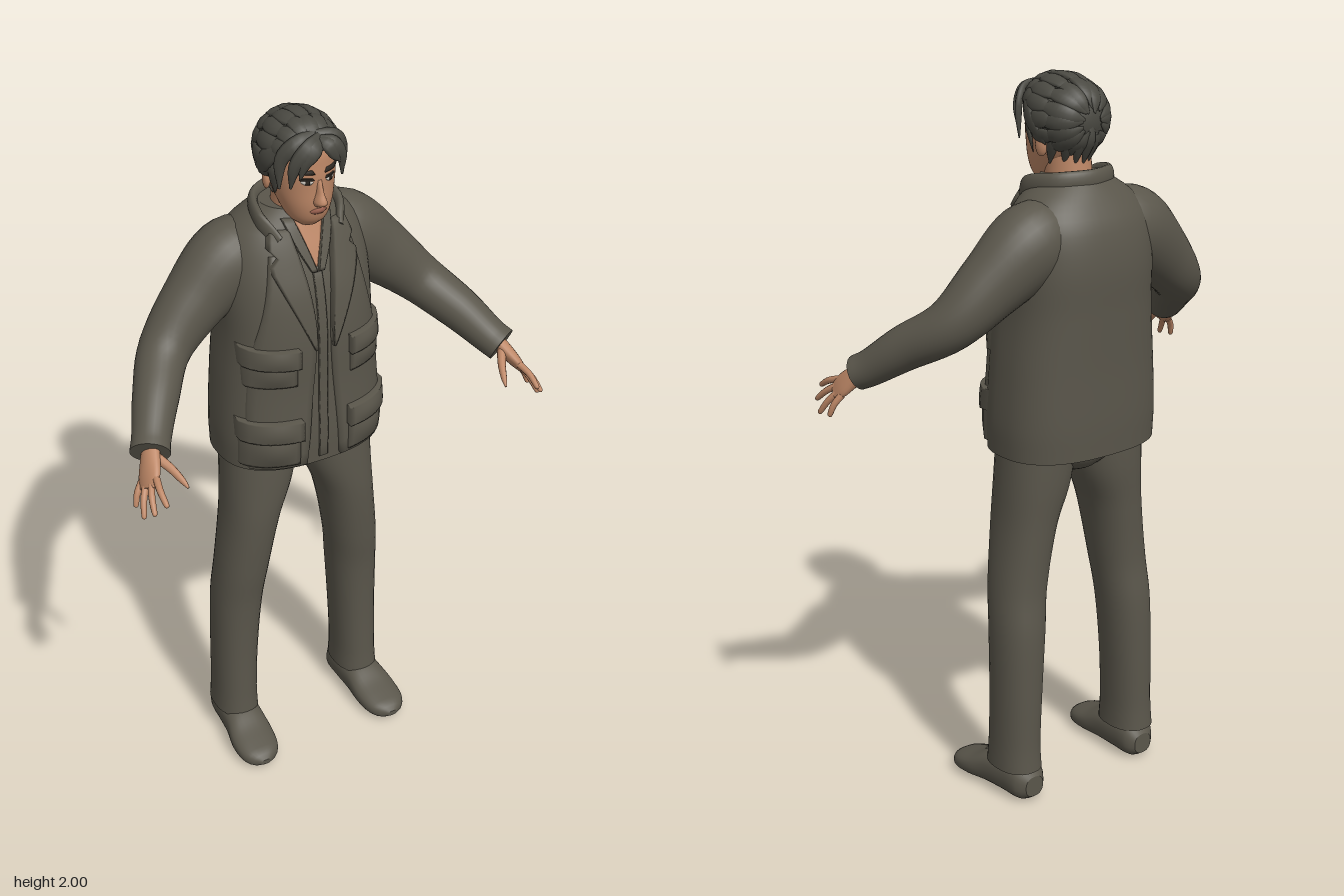
import * as THREE from 'three';

const V3 = (x, y, z) => new THREE.Vector3(x, y, z);
const X = V3(1, 0, 0), Y = V3(0, 1, 0), Z = V3(0, 0, 1);
const mat = (name, color) => Object.assign(new THREE.MeshStandardMaterial({ color }), { name });

// Smooth interpolation of rows keyed by their first column
function rowAt(rows, k) {
  let i = 0;
  while (i < rows.length - 2 && k > rows[i + 1][0]) i++;
  const a = rows[i], b = rows[i + 1], p = rows[i - 1] || a, n = rows[i + 2] || b;
  const h = b[0] - a[0], s = Math.min(1, Math.max(0, (k - a[0]) / h)), s2 = s * s, s3 = s2 * s;
  return a.map((v, c) => {
    if (c === 0) return k;
    const ma = (b[c] - p[c]) / (b[0] - p[0]) * h, mb = (n[c] - a[c]) / (n[0] - a[0]) * h;
    return v * (2 * s3 - 3 * s2 + 1) + ma * (s3 - 2 * s2 + s) + b[c] * (3 * s2 - 2 * s3) + mb * (s3 - s2);
  });
}

function toGeometry(pos, idx) {
  const g = new THREE.BufferGeometry();
  g.setAttribute('position', new THREE.Float32BufferAttribute(pos, 3));
  g.setIndex(idx);
  g.computeVertexNormals();
  return g;
}

// Loft through rows [key, cx, cy, cz, ru, rv, exponent]; dir fixes the ring plane, else it follows the path
function loft(rows, dir, ref, steps = 24, sides = 28) {
  const pos = [], idx = [], k0 = rows[0][0], k1 = rows[rows.length - 1][0];
  const at = t => rowAt(rows, k0 + (k1 - k0) * t);
  const mid = t => V3(...at(Math.min(1, Math.max(0, t))).slice(1, 4));
  for (let i = 0; i <= steps; i++) {
    const t = i / steps, [, cx, cy, cz, ru, rv, n = 2] = at(t);
    const T = dir || mid(t + 0.02).sub(mid(t - 0.02)).normalize();
    const U = T.clone().cross(ref).normalize(), W = T.clone().cross(U);
    for (let j = 0; j < sides; j++) {
      const a = j / sides * Math.PI * 2, c = Math.cos(a), s = Math.sin(a);
      const p = V3(cx, cy, cz)
        .addScaledVector(U, ru * Math.sign(c) * Math.abs(c) ** (2 / n))
        .addScaledVector(W, rv * Math.sign(s) * Math.abs(s) ** (2 / n));
      pos.push(p.x, p.y, p.z);
      if (i < steps) {
        const A = i * sides + j, B = i * sides + (j + 1) % sides;
        idx.push(A, B, A + sides, B, B + sides, A + sides);
      }
    }
  }
  // End caps with their own rims, so the edge stays crisp
  for (const end of [0, steps]) {
    const base = pos.length / 3, m = mid(end / steps);
    pos.push(...pos.slice(end * sides * 3, (end + 1) * sides * 3), m.x, m.y, m.z);
    for (let j = 0; j < sides; j++) {
      const A = base + j, B = base + (j + 1) % sides;
      idx.push(base + sides, ...(end ? [A, B] : [B, A]));
    }
  }
  return toGeometry(pos, idx);
}

// Front depth of a lofted body at x, y
const frontOf = rows => (x, y) => {
  const [, cx, , cz, rz, rx, n] = rowAt(rows, y), q = Math.min(0.98, Math.abs(x - cx) / rx);
  return cz + rz * (1 - q ** n) ** (1 / n);
};

// Raised patch on a front surface; edges rows are [y, xInner, xOuter]
function pad(front, edges, depth, bulge = 0, nx = 12, ny = 18) {
  const pos = [], idx = [], y0 = edges[0][0], y1 = edges[edges.length - 1][0];
  const clamp = v => Math.min(1, Math.max(0, v));
  for (let i = 0; i <= ny; i++) for (let j = 0; j <= nx; j++) {
    const u = clamp((j - 1) / (nx - 2)), v = clamp((i - 1) / (ny - 2)), y = y0 + (y1 - y0) * v;
    const [, a, b] = rowAt(edges, y), x = a + (b - a) * u;
    const skirt = i === 0 || j === 0 || i === ny || j === nx;
    pos.push(x, y, front(x, y) + (skirt ? -0.005 : depth + bulge * Math.sin(u * Math.PI) * Math.sin(v * Math.PI)));
    if (i < ny && j < nx) {
      const A = i * (nx + 1) + j, B = A + nx + 1;
      idx.push(A, A + 1, B, A + 1, B + 1, B);
    }
  }
  return toGeometry(pos, idx);
}

function mirrored(geo) {
  const g = geo.clone().scale(-1, 1, 1), a = g.index.array;
  for (let i = 0; i < a.length; i += 3) [a[i], a[i + 1]] = [a[i + 1], a[i]];
  return g;
}

const H = (y, cx, cz, rz, rx, n = 2) => [y, cx, y, cz, rz, rx, n];
const box = (x0, x1, y0, y1) => [[y0, x0, x1], [y1, x0, x1]];
// Path of points with radii [x, y, z, ru, rv], evenly keyed
const path = pts => pts.map((p, i) => [i, ...p, 2]);

const TORSO = [
  H(1.01, 0, -0.095, 0.168, 0.236, 2.5), H(1.1, 0, -0.095, 0.172, 0.238, 2.5), H(1.25, 0, -0.098, 0.17, 0.228, 2.5),
  H(1.4, 0, -0.1, 0.172, 0.214, 2.5), H(1.53, 0, -0.11, 0.165, 0.212, 2.4), H(1.63, 0, -0.117, 0.14, 0.2, 2.3),
  H(1.69, 0, -0.112, 0.112, 0.165, 2.2), H(1.73, 0, -0.105, 0.09, 0.112, 2), H(1.745, 0, -0.1, 0.08, 0.09, 2)];
const HEAD = [
  H(1.712, 0, -0.005, 0.022, 0.025), H(1.732, 0, -0.016, 0.054, 0.05), H(1.77, 0, -0.03, 0.08, 0.067, 2.1),
  H(1.82, 0, -0.048, 0.101, 0.08, 2.1), H(1.88, 0, -0.055, 0.108, 0.085, 2.1), H(1.94, 0, -0.058, 0.098, 0.078), H(1.98, 0, -0.06, 0.045, 0.04)];

export function createModel() {
  const model = new THREE.Group();
  const cloth = mat('dark cloth', 0x5a564b), skin = mat('skin', 0xbd8766), hair = mat('hair', 0x4a4942);
  const dark = mat('dark eyes and brows', 0x2e2822), white = mat('eye white', 0xd8d2c8), lip = mat('lips', 0x9c6250);
  const add = (name, geo, m) => {
    const mesh = new THREE.Mesh(geo, m);
    mesh.name = name;
    model.add(mesh);
  };
  const pair = (name, geo, m) => { add(name + 'Left', geo, m); add(name + 'Right', mirrored(geo), m); };
  const chest = frontOf(TORSO), face = frontOf(HEAD);

  // Jacket body, front panels, lapels and pockets
  add('jacketBody', loft(TORSO, Y, X, 40, 56), cloth);
  pair('frontPanel', pad(chest, [[1.02, 0.052, 0.2], [1.2, 0.038, 0.2], [1.38, 0.024, 0.18], [1.5, 0.03, 0.15], [1.64, 0.05, 0.12]], 0.011), cloth);
  pair('lapel', pad(chest, [[1.38, 0.024, 0.03], [1.46, 0.026, 0.065], [1.57, 0.038, 0.112], [1.62, 0.046, 0.125], [1.635, 0.049, 0.1], [1.65, 0.052, 0.122], [1.7, 0.062, 0.11]], 0.02), cloth);
  pair('chestPocket', pad(chest, box(0.08, 0.203, 1.28, 1.375), 0.015, 0.014), cloth);
  pair('chestFlap', pad(chest, box(0.075, 0.207, 1.34, 1.395), 0.03, 0.006), cloth);
  pair('lowerPocket', pad(chest, box(0.075, 0.218, 1.03, 1.15), 0.015, 0.016), cloth);
  pair('lowerFlap', pad(chest, box(0.07, 0.222, 1.115, 1.175), 0.032, 0.006), cloth);
  add('shirtPlacket', pad(chest, box(-0.013, 0.013, 1.03, 1.6), 0.005), cloth);
  add('throat', pad(chest, [[1.6, -0.002, 0.002], [1.66, -0.022, 0.022], [1.73, -0.045, 0.045]], 0.006), skin);
  pair('shirtCollar', pad(chest, [[1.59, 0.002, 0.018], [1.66, 0.022, 0.05], [1.725, 0.043, 0.07]], 0.013), cloth);
  add('jacketCollar', loft(path([
    [-0.09, 1.675, 0.0, 0.01, 0.02], [-0.115, 1.72, -0.06, 0.013, 0.028], [-0.085, 1.735, -0.145, 0.014, 0.03],
    [0, 1.738, -0.18, 0.014, 0.03],
    [0.085, 1.735, -0.145, 0.014, 0.03], [0.115, 1.72, -0.06, 0.013, 0.028], [0.09, 1.675, 0.0, 0.01, 0.02]]), null, Y, 36, 14), cloth);

  // Sleeves with a slight flare at the cuff
  pair('sleeve', loft(path([
    [0.07, 1.61, -0.13, 0.08, 0.08], [0.165, 1.585, -0.132, 0.102, 0.112], [0.28, 1.497, -0.118, 0.084, 0.092],
    [0.385, 1.4, -0.082, 0.07, 0.07], [0.46, 1.33, 0.015, 0.061, 0.06], [0.51, 1.272, 0.09, 0.052, 0.05],
    [0.533, 1.25, 0.128, 0.053, 0.047]]), null, Y, 36), cloth);

  // Hands: palm, four fingers and a thumb
  const palmNormal = V3(-0.84, -0.54, -0.06), across = V3(-0.4, 0.53, 0.75);
  pair('palm', loft(path([[0.515, 1.275, 0.095, 0.024, 0.02], [0.538, 1.238, 0.138, 0.032, 0.02],
    [0.556, 1.21, 0.168, 0.038, 0.016], [0.57, 1.188, 0.188, 0.03, 0.009]]), null, palmNormal, 12, 18), skin);
  const tips = [[0.558, 1.182, 0.277], [0.585, 1.152, 0.258], [0.6, 1.125, 0.222], [0.6, 1.13, 0.172]];
  tips.forEach((tip, i) => {
    const base = V3(0.56, 1.203, 0.173).addScaledVector(across, 0.028 - i * 0.0187);
    const end = V3(...tip), m = base.clone().lerp(end, 0.5).add(V3(0.004, 0.005, 0));
    pair('finger' + (i + 1), loft(path([[...base, 0.01, 0.01], [...m, 0.009, 0.009],
      [...m.clone().lerp(end, 0.85), 0.007, 0.007], [...end, 0.002, 0.002]]), null, palmNormal, 10, 10), skin);
  });
  pair('thumb', loft(path([[0.53, 1.248, 0.135, 0.015, 0.013], [0.503, 1.225, 0.177, 0.012, 0.011],
    [0.487, 1.203, 0.215, 0.009, 0.008], [0.48, 1.19, 0.237, 0.003, 0.003]]), null, palmNormal, 10, 10), skin);

  // Trousers
  add('trouserSeat', loft([H(0.925, 0, -0.085, 0.03, 0.015), H(0.95, 0, -0.085, 0.085, 0.08),
    H(1.0, 0, -0.086, 0.114, 0.18, 2.3), H(1.06, 0, -0.09, 0.11, 0.215, 2.3)], Y, X), cloth);
  pair('trouserLeg', loft([
    H(0.09, 0.205, -0.102, 0.087, 0.064, 2.3), H(0.16, 0.204, -0.102, 0.083, 0.062, 2.2), H(0.32, 0.199, -0.103, 0.082, 0.065, 2.2),
    H(0.5, 0.19, -0.098, 0.085, 0.071, 2.2), H(0.62, 0.178, -0.085, 0.088, 0.074, 2.2), H(0.8, 0.151, -0.08, 0.1, 0.081, 2.2),
    H(0.92, 0.126, -0.085, 0.106, 0.1, 2.2), H(1.05, 0.113, -0.09, 0.105, 0.108, 2.2)], Y, X, 40), cloth);

  // Shoes, lofted from heel to toe
  const shoe = [[-0.188, 0.2, 0.045, 0.03, 0.03], [-0.165, 0.202, 0.053, 0.052, 0.05], [-0.1, 0.204, 0.058, 0.057, 0.057],
    [-0.03, 0.208, 0.053, 0.052, 0.06], [0.03, 0.213, 0.039, 0.038, 0.066], [0.085, 0.216, 0.03, 0.029, 0.06],
    [0.115, 0.217, 0.026, 0.022, 0.042], [0.13, 0.217, 0.023, 0.008, 0.015]];
  pair('shoe', loft(shoe.map(([z, x, y, ry, rx]) => [z, x, y, z, ry, rx, 2.4]), Z, X, 28), cloth);

  // Neck, head and face
  add('neck', loft([H(1.62, 0, -0.095, 0.075, 0.075), H(1.73, 0, -0.082, 0.068, 0.062), H(1.82, 0, -0.075, 0.065, 0.06)], Y, X, 12), skin);
  add('head', loft(HEAD, Y, X, 32, 40), skin);
  add('nose', loft([H(1.782, 0, 0.05, 0.012, 0.012), H(1.793, 0, 0.054, 0.026, 0.017), H(1.82, 0, 0.05, 0.019, 0.01),
    H(1.855, 0, 0.046, 0.01, 0.007)], Y, X, 14, 16), skin);
  pair('ear', new THREE.SphereGeometry(1, 14, 10).scale(0.011, 0.03, 0.018).rotateY(0.35).translate(0.084, 1.825, -0.075), skin);
  pair('eyeWhite', pad(face, [[1.845, 0.026, 0.038], [1.852, 0.018, 0.047], [1.859, 0.026, 0.04]], 0.002, 0.002, 8, 8), white);
  pair('iris', pad(face, box(0.028, 0.038, 1.846, 1.859), 0.004, 0.001, 6, 6), dark);
  pair('eyelid', pad(face, [[1.857, 0.016, 0.05], [1.863, 0.02, 0.046]], 0.004, 0, 8, 6), dark);
  pair('brow', pad(face, [[1.873, 0.014, 0.055], [1.884, 0.02, 0.058]], 0.004, 0.002, 8, 6), dark);
  add('mouth', pad(face, [[1.758, -0.012, 0.012], [1.766, -0.024, 0.024], [1.774, -0.012, 0.012]], 0.002, 0.003, 10, 8), lip);

  // Hair cap with overlapping locks combed from front to back
  const hc = V3(0, 1.89, -0.073);
  add('hairCap', new THREE.SphereGeometry(1, 32, 24).scale(0.1, 0.1, 0.108).translate(hc.x, hc.y, hc.z), hair);
  let seed = 7;
  const rnd = () => (seed = seed * 16807 % 2147483647) / 2147483647;
  const lock = (name, pts, w, th) => {
    const rows = path(pts.map((p, i) => {
      const f = [0.55, 1, 0.85, 0.15][i];
      return [...p, w * f, th * f];
    }));
    add(name, loft(rows, null, V3(...pts[1]).sub(hc).normalize(), 12, 8), hair);
  };
  const onCap = (a, b, r) => [
    hc.x + 0.1 * r * Math.sin(a) * Math.sin(b), hc.y + 0.1 * r * Math.sin(a) * Math.cos(b) + 0.03 * Math.max(0, Math.cos(a)),
    hc.z + 0.112 * r * Math.cos(a)];
  for (let k = -7; k <= 8; k++) {
    const b = k * Math.PI / 8, far = Math.abs(k);
    const spans = far < 4 ? [[0.42, 1.4], [1.0, 2.1], [1.75, 2.85]] : far < 6 ? [[1.25, 2.2], [1.8, 2.85]] : [[1.75, 2.8]];
    for (const [a0, a1] of spans) {
      const j = (rnd() - 0.5) * 0.16, twist = (rnd() - 0.5) * 0.3;
      lock('hairLock', [0, 1, 2, 3].map(i => onCap(a0 + (a1 - a0) * i / 3 + j, b + twist * i / 3, i === 3 ? 0.99 : 1.02)), 0.023, 0.009);
    }
  }
  // Fringe, temples and sideburns
  const fringe = [
    [[0.01, 1.965, 0.035], [-0.035, 1.95, 0.058], [-0.068, 1.905, 0.05], [-0.074, 1.84, 0.036]],
    [[0.0, 1.97, 0.025], [-0.055, 1.955, 0.03], [-0.088, 1.91, 0.012], [-0.09, 1.83, 0.005]],
    [[0.01, 1.955, 0.045], [-0.02, 1.945, 0.064], [-0.045, 1.915, 0.062], [-0.056, 1.87, 0.054]],
    [[0.0, 1.96, 0.04], [0.035, 1.95, 0.06], [0.062, 1.91, 0.054], [0.07, 1.85, 0.042]],
    [[0.0, 1.97, 0.025], [0.055, 1.955, 0.035], [0.088, 1.91, 0.015], [0.09, 1.83, 0.01]],
    [[0.0, 1.96, 0.04], [0.02, 1.95, 0.063], [0.036, 1.925, 0.065], [0.058, 1.895, 0.058]]];
  fringe.forEach(p => lock('fringeLock', p, 0.021, 0.011));
  for (const s of [-1, 1]) {
    lock('sideburn', [[s * 0.08, 1.9, -0.02], [s * 0.088, 1.87, -0.025], [s * 0.086, 1.84, -0.03], [s * 0.08, 1.8, -0.035]], 0.017, 0.007);
    lock('templeLock', [[s * 0.085, 1.93, -0.01], [s * 0.099, 1.9, -0.04], [s * 0.101, 1.865, -0.07], [s * 0.09, 1.83, -0.1]], 0.024, 0.009);
  }
  for (let k = -3; k <= 3; k++) {
    const x = k * 0.023, z = -0.165 + 0.011 * k * k * 0.6;
    lock('napeLock', [[x * 1.1, 1.88, z - 0.008], [x * 1.05, 1.845, z - 0.004], [x, 1.815, z + 0.008], [x * 0.9, 1.775, z + 0.024]], 0.017, 0.012);
  }
  return model;
}
